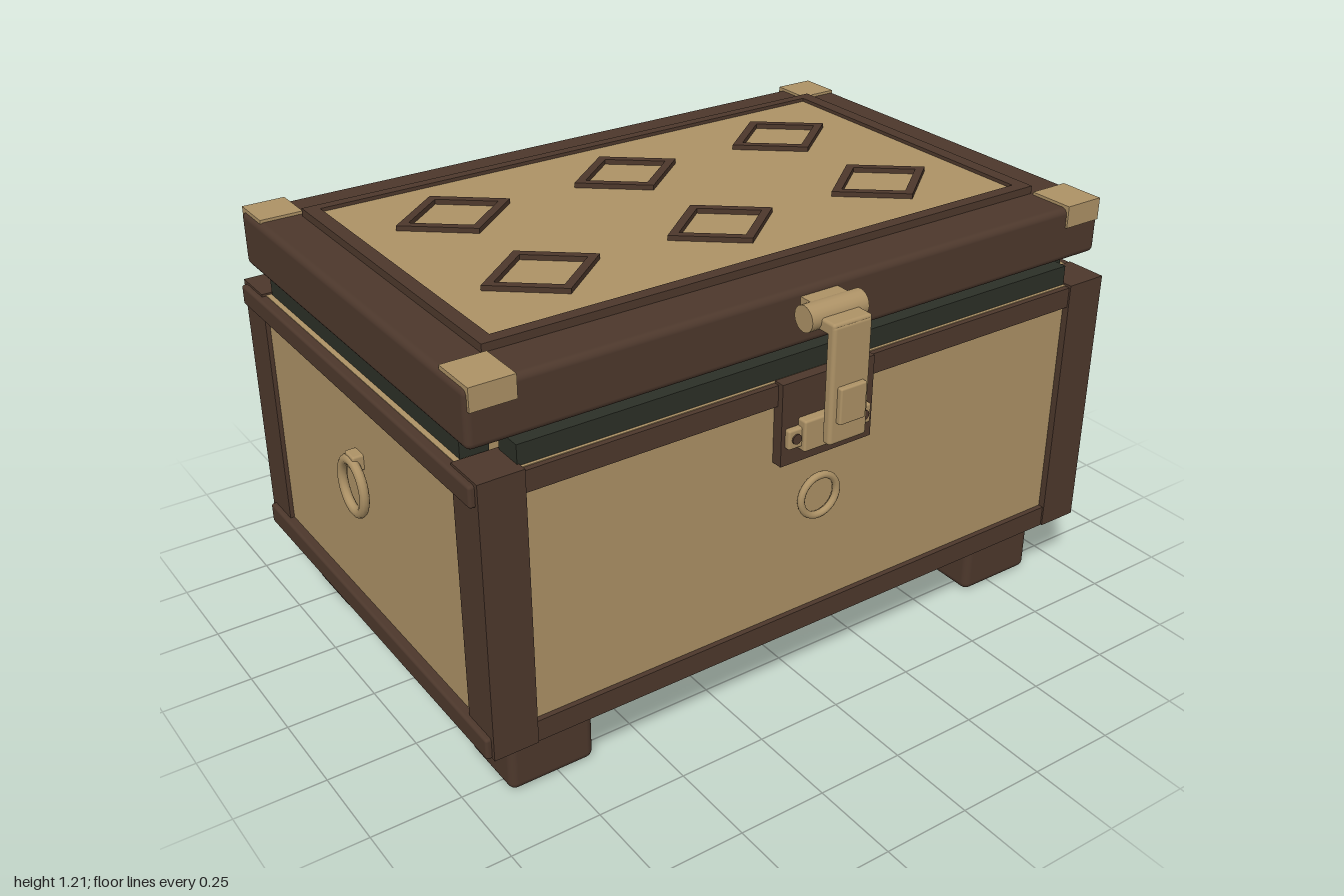
import * as THREE from 'three';
import { RoundedBoxGeometry } from 'three/addons/geometries/RoundedBoxGeometry.js';

const mat = (name, color) => {
  const m = new THREE.MeshStandardMaterial({ color });
  m.name = name;
  return m;
};

export function createModel() {
  const wood = mat('dark wood', 0x4d382c);
  const tan = mat('tan wood and brass', 0xad9266);
  const seal = mat('dark green seal', 0x2c3027);

  const root = new THREE.Group();
  root.name = 'chest';

  const add = (name, geo, material, x = 0, y = 0, z = 0) => {
    const m = new THREE.Mesh(geo, material);
    m.name = name;
    m.position.set(x, y, z);
    root.add(m);
    return m;
  };
  // Box from its limits on each axis; r rounds the edges
  const box = (name, material, [x0, x1], [y0, y1], [z0, z1], r = 0) => {
    const s = [x1 - x0, y1 - y0, z1 - z0];
    const g = r ? new RoundedBoxGeometry(...s, 3, r) : new THREE.BoxGeometry(...s);
    return add(name, g, material, (x0 + x1) / 2, (y0 + y1) / 2, (z0 + z1) / 2);
  };
  // Cylinder lying along x
  const pin = (name, material, r, length, x, y, z) => {
    const m = add(name, new THREE.CylinderGeometry(r, r, length, 20), material, x, y, z);
    m.rotation.z = Math.PI / 2;
    return m;
  };

  // Hollow body: floor and four panels
  box('floor', wood, [-0.9, 0.91], [0.17, 0.22], [-0.595, 0.545], 0.008);
  box('frontPanel', tan, [-0.95, 0.96], [0.2, 0.965], [0.58, 0.62]);
  box('backPanel', tan, [-0.95, 0.96], [0.2, 0.965], [-0.665, -0.62]);
  box('rightPanel', tan, [-0.96, -0.92], [0.2, 0.965], [-0.66, 0.615]);
  box('leftPanel', tan, [0.93, 0.97], [0.2, 0.965], [-0.66, 0.615]);

  // Corner posts
  for (const x of [[-0.972, -0.85], [0.86, 0.982]])
    for (const z of [[-0.685, -0.56], [0.52, 0.64]])
      box('cornerPost', wood, x, [0.2, 0.97], z);

  // Top and bottom rails on every side
  for (const y of [[0.199, 0.26], [0.905, 0.963]]) {
    box('frontRail', wood, [-0.86, 0.87], y, [0.6, 0.635]);
    box('backRail', wood, [-0.86, 0.87], y, [-0.68, -0.64]);
    box('rightRail', wood, [-0.987, -0.945], y, [-0.67, 0.628], 0.008);
    box('leftRail', wood, [0.955, 0.995], y, [-0.67, 0.628], 0.008);
  }

  // Feet
  for (const x of [[-0.89, -0.645], [0.65, 0.895]])
    for (const z of [[-0.605, -0.39], [0.345, 0.56]])
      box('foot', wood, x, [0, 0.185], z, 0.022);

  // Seal strips under the lid
  box('frontSeal', seal, [-0.855, 0.86], [0.88, 1.02], [0.53, 0.612]);
  box('backSeal', seal, [-0.855, 0.86], [0.88, 1.02], [-0.615, -0.575]);
  box('rightSeal', seal, [-0.945, -0.87], [0.88, 1.02], [-0.555, 0.512]);
  box('leftSeal', seal, [0.875, 0.95], [0.88, 1.02], [-0.555, 0.512]);

  // Lid slab, raised rim and top panel
  box('lid', wood, [-0.97, 0.98], [1.03, 1.184], [-0.647, 0.602], 0.018);
  box('lidPanel', tan, [-0.82, 0.825], [1.17, 1.196], [-0.495, 0.435]);
  for (const x of [[-0.85, -0.81], [0.815, 0.855]])
    box('lidRimSide', wood, x, [1.17, 1.206], [-0.515, 0.465]);
  for (const z of [[-0.515, -0.485], [0.43, 0.465]])
    box('lidRimEnd', wood, [-0.82, 0.825], [1.17, 1.206], z);

  // Brass corner caps
  for (const x of [[-0.962, -0.842], [0.852, 0.97]])
    for (const z of [[-0.653, -0.53], [0.475, 0.608]])
      box('cornerCap', tan, x, [1.13, 1.192], z);

  // Diamond mouldings on the lid
  const diamond = (Type, w, h) =>
    new Type([[w, 0], [0, h], [-w, 0], [0, -h]].map(([a, b]) => new THREE.Vector2(a, b)));
  const outline = diamond(THREE.Shape, 0.168, 0.138);
  outline.holes.push(diamond(THREE.Path, 0.132, 0.108));
  const diamondGeo = new THREE.ExtrudeGeometry(outline, { depth: 0.016, bevelEnabled: false });
  for (const x of [-0.535, 0.003, 0.54])
    for (const z of [-0.255, 0.195])
      add('diamond', diamondGeo, wood, x, 1.194, z).rotation.x = -Math.PI / 2;

  // Hinges on the back
  for (const x of [-0.59, 0.595]) {
    box('hingeArm', tan, [x - 0.07, x + 0.07], [1.035, 1.115], [-0.722, -0.64], 0.006);
    pin('hingeKnuckle', tan, 0.037, 0.215, x, 1.02, -0.714);
    box('hingePlate', tan, [x - 0.07, x + 0.07], [0.79, 1.02], [-0.697, -0.675], 0.006);
  }

  // Front latch: backing, keeper, strap and pivot
  box('latchBacking', wood, [-0.14, 0.15], [0.74, 0.97], [0.62, 0.652]);
  box('keeper', tan, [-0.088, 0.095], [0.778, 0.865], [0.645, 0.68], 0.006);
  box('keeperEars', tan, [-0.128, 0.135], [0.79, 0.845], [0.645, 0.668], 0.006);
  for (const x of [-0.105, 0.112])
    add('screw', new THREE.CylinderGeometry(0.014, 0.014, 0.01, 12), wood, x, 0.818, 0.667)
      .rotation.x = Math.PI / 2;
  box('latchStrap', tan, [-0.057, 0.063], [0.81, 1.135], [0.705, 0.735], 0.01);
  box('latchBridge', tan, [-0.057, 0.063], [1.105, 1.14], [0.64, 0.733], 0.008);
  box('latchButton', tan, [-0.038, 0.044], [0.87, 0.97], [0.73, 0.75], 0.005);
  pin('latchPivot', tan, 0.035, 0.175, 0.003, 1.133, 0.652);
  box('latchMount', tan, [-0.055, 0.06], [1.1, 1.165], [0.595, 0.64]);

  // Rings on the front and right side
  add('frontRing', new THREE.TorusGeometry(0.058, 0.01, 10, 32), tan, 0.003, 0.603, 0.635);
  add('frontRingPlate', new THREE.CylinderGeometry(0.052, 0.052, 0.008, 32), tan, 0.003, 0.603, 0.622)
    .rotation.x = Math.PI / 2;
  const sideRing = add('sideRing', new THREE.TorusGeometry(0.065, 0.013, 10, 32), tan, -0.985, 0.64, -0.027);
  sideRing.rotation.y = Math.PI / 2;
  sideRing.scale.y = 1.15;
  box('sideRingMount', tan, [-0.99, -0.955], [0.69, 0.735], [-0.052, -0.002], 0.006);

  return root;
}
